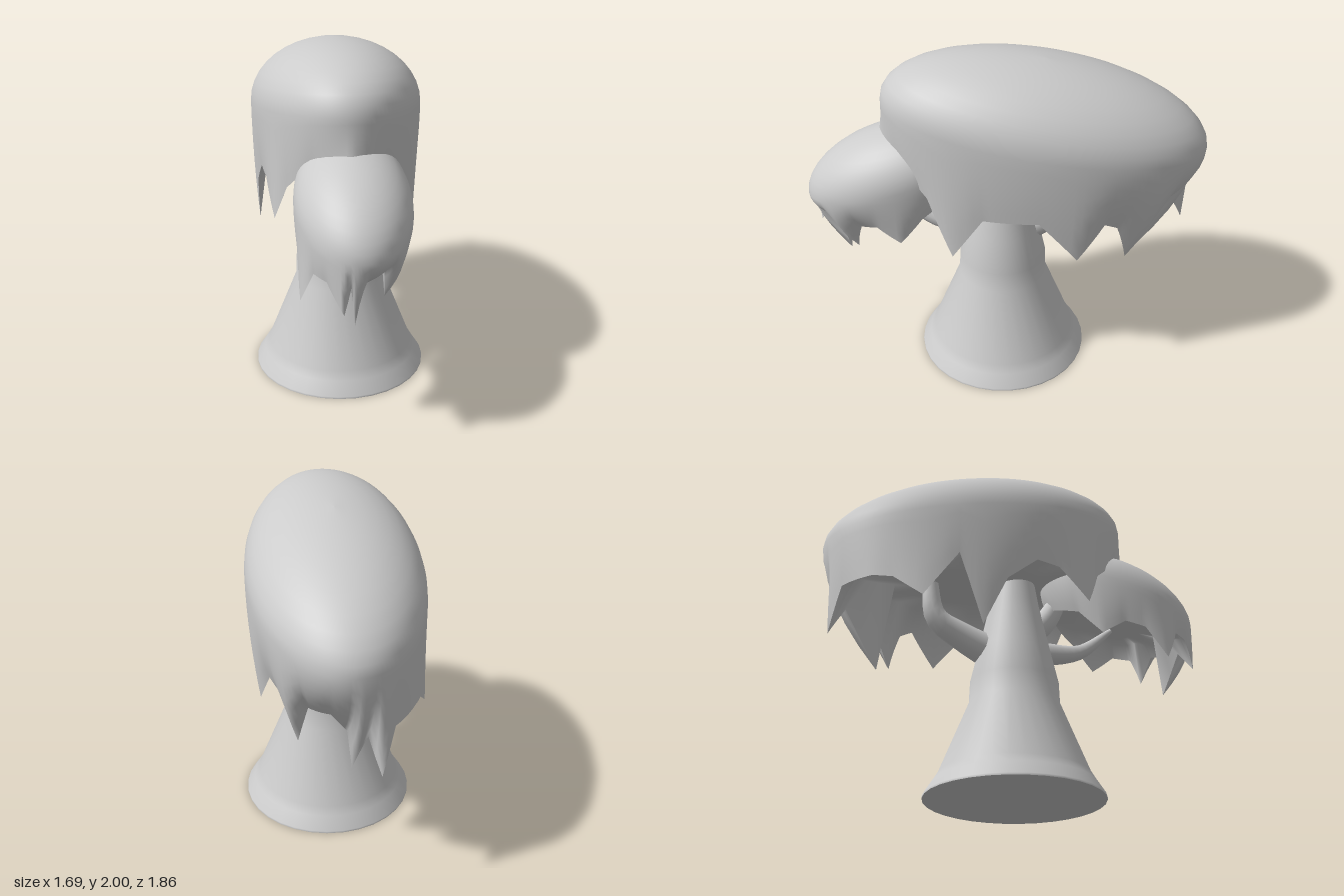
import * as THREE from 'three';

const material = new THREE.MeshStandardMaterial({ color: 0xcccccc, side: THREE.DoubleSide });
const STEP = 3; // degrees between canopy columns
const AXIS = [0.65, 0.76]; // x and z direction of the canopies' long axis

function mesh(name, geometry) {
  const m = new THREE.Mesh(geometry, material);
  m.name = name;
  return m;
}

// Linear lookup of [height, radius] in a closed list of [degrees, height, radius], starting at -180
function hemAt(hem, deg) {
  const closed = [...hem, [180, hem[0][1], hem[0][2]]];
  const i = Math.max(1, closed.findIndex(h => h[0] >= deg));
  const [a0, y0, r0] = closed[i - 1], [a1, y1, r1] = closed[i];
  const t = (deg - a0) / (a1 - a0);
  return [y0 + (y1 - y0) * t, r0 + (r1 - r0) * t];
}

// Closed rings of points stitched into a surface
function ringSurface(rows, point) {
  const n = 360 / STEP, positions = [], index = [];
  for (let j = 0; j < rows; j++)
    for (let i = 0; i < n; i++) positions.push(...point(j, -180 + i * STEP));
  for (let j = 0; j < rows - 1; j++)
    for (let i = 0; i < n; i++) {
      const k = (i + 1) % n, a = j * n + i, b = a + n, c = (j + 1) * n + k, d = j * n + k;
      index.push(a, b, c, a, c, d);
    }
  const g = new THREE.BufferGeometry();
  g.setAttribute('position', new THREE.Float32BufferAttribute(positions, 3));
  g.setIndex(index);
  g.computeVertexNormals();
  return g;
}

// Oval dome along the long axis, with a jagged hem that partly curls inward
function canopy(name, { x, z, length, width, midY, tilt, height, underY, hem }) {
  const at = (r, deg, yOf) => {
    const a = THREE.MathUtils.degToRad(deg);
    const u = r * Math.cos(a), v = r * Math.sin(a);
    return [x + u * length * AXIS[0] + v * width * AXIS[1], yOf(u), z + u * length * AXIS[1] - v * width * AXIS[0]];
  };
  const DOME = 10, SKIRT = 6;
  const outer = ringSurface(DOME + SKIRT + 1, (j, deg) => {
    if (j <= DOME) {
      const p = j / DOME * Math.PI / 2;
      return at(Math.sin(p), deg, u => midY + tilt * u + height * Math.cos(p));
    }
    const t = (j - DOME) / SKIRT;
    const [y, r] = hemAt(hem, deg);
    return at(1 + (r - 1) * t * t, deg, u => THREE.MathUtils.lerp(midY + tilt * u, y, t));
  });
  const under = ringSurface(4, (j, deg) => {
    const [y, r] = hemAt(hem, deg);
    return at(r * [1, 0.86, 0.5, 0][j], deg, u => j ? underY + tilt * u * 0.7 : y);
  });
  const g = new THREE.Group();
  g.name = name;
  g.add(mesh(name + 'Dome', outer), mesh(name + 'Underside', under));
  return g;
}

// Tube narrowing from radius r0 to r1
function branch(name, points, r0, r1) {
  const curve = new THREE.CatmullRomCurve3(points.map(p => new THREE.Vector3(...p)));
  const along = 14, around = 10;
  const g = new THREE.TubeGeometry(curve, along, 1, around);
  const pos = g.attributes.position, p = new THREE.Vector3();
  for (let i = 0; i < pos.count; i++) {
    const t = Math.floor(i / (around + 1)) / along;
    const c = curve.getPointAt(t);
    p.fromBufferAttribute(pos, i).sub(c).multiplyScalar(r0 + (r1 - r0) * t).add(c);
    pos.setXYZ(i, p.x, p.y, p.z);
  }
  g.computeVertexNormals();
  return mesh(name, g);
}

export function createModel() {
  const model = new THREE.Group();
  model.name = 'tree';

  // Flared trunk with a flat base
  const profile = [[0.515, 0], [0.515, 0.012], [0.465, 0.09], [0.435, 0.14], [0.265, 0.57], [0.26, 0.7],
    [0.215, 0.9], [0.18, 1.06], [0.15, 1.2], [0.12, 1.38]].map(p => new THREE.Vector2(...p));
  const trunk = mesh('trunk', new THREE.LatheGeometry(profile, 32));
  const base = mesh('trunkBase', new THREE.CircleGeometry(0.515, 32).rotateX(Math.PI / 2));
  trunk.position.x = base.position.x = 0.027;
  model.add(trunk, base);

  // Branches reaching into the canopies
  model.add(
    branch('backBranch', [[0, 0.84, -0.03], [-0.2, 0.96, -0.23], [-0.32, 1.06, -0.34], [-0.35, 1.3, -0.37]], 0.11, 0.045),
    branch('frontBranch', [[0.05, 0.9, 0.02], [0.15, 0.91, 0.14], [0.3, 0.95, 0.3], [0.44, 1.12, 0.46]], 0.09, 0.015),
    branch('upperBranch', [[0.03, 0.98, 0.0], [0.14, 1.1, 0.13], [0.24, 1.38, 0.25]], 0.09, 0.045));

  // Large upper canopy
  model.add(canopy('largeCanopy', {
    x: -0.14, z: -0.18, length: 0.92, width: 0.49, midY: 1.6, tilt: 0.15, height: 0.375, underY: 1.3,
    hem: [[-180, 0.95, 0.65], [-174, 0.69, 0.62], [-168, 1.02, 0.85], [-162, 0.83, 0.98], [-153, 1.1, 0.98],
      [-135, 1.12, 1], [-126, 1.1, 1], [-114, 0.98, 1.02], [-102, 1.26, 0.98], [-93, 0.84, 0.93],
      [-84, 1.14, 0.95], [-72, 1.29, 0.95], [-63, 1.27, 0.97], [-51, 1.09, 1.02], [-42, 1.3, 0.98],
      [-24, 1.48, 0.98], [0, 1.54, 1.02], [24, 1.48, 0.98], [42, 1.28, 0.97], [54, 0.93, 0.98],
      [66, 1.2, 0.95], [87, 1.2, 0.95], [102, 0.93, 0.9], [114, 1.14, 0.86], [123, 1.08, 0.8],
      [135, 0.82, 0.72], [147, 1.1, 0.76], [165, 1.12, 0.78]],
  }));

  // Small lower canopy
  model.add(canopy('smallCanopy', {
    x: 0.45, z: 0.495, length: 0.48, width: 0.31, midY: 1.285, tilt: -0.13, height: 0.28, underY: 1.14,
    hem: [[-180, 1.2, 0.9], [-135, 1.12, 0.9], [-114, 0.97, 0.92], [-96, 1.05, 0.92], [-81, 1.02, 0.96],
      [-66, 0.84, 1.04], [-51, 1.03, 0.96], [-36, 1.02, 0.95], [-18, 0.87, 0.98], [-12, 0.98, 0.8],
      [-6, 0.71, 0.57], [6, 0.98, 0.68], [24, 1.02, 0.75], [36, 1.02, 0.7], [48, 0.84, 0.62],
      [63, 1.02, 0.74], [81, 1.05, 0.85], [99, 0.95, 0.9], [117, 1.1, 0.9], [141, 1.2, 0.9]],
  }));

  return model;
}
